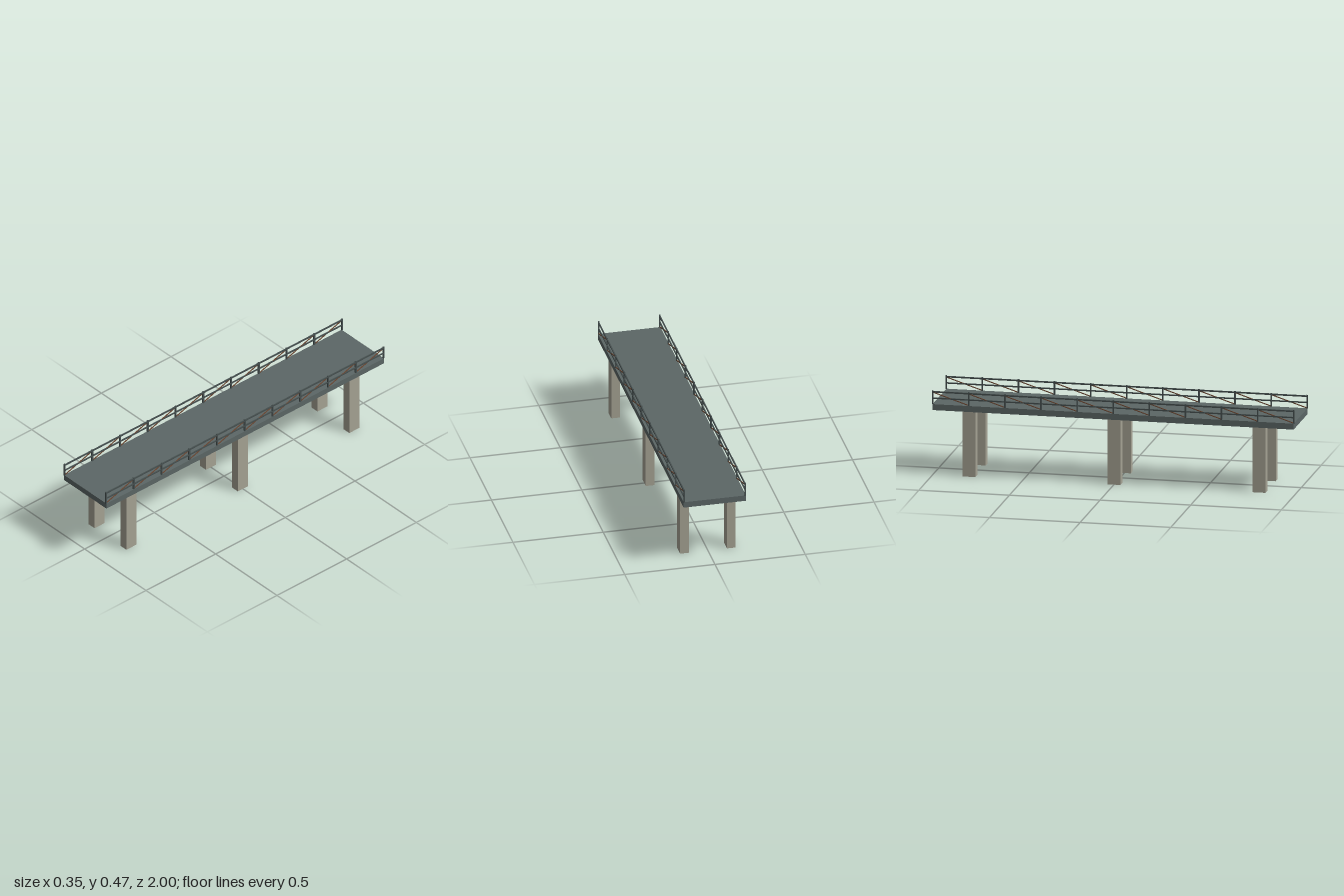
import * as THREE from 'three';

const deckPaint = new THREE.MeshStandardMaterial({ name: 'slate deck', color: 0x5c6766 });
const concrete = new THREE.MeshStandardMaterial({ name: 'warm concrete', color: 0xa6a394 });
const railPaint = new THREE.MeshStandardMaterial({ name: 'dark rail steel', color: 0x465050 });
const rust = new THREE.MeshStandardMaterial({ name: 'rusty brace', color: 0x6e4a35 });

const BAYS = 10, END = 0.996, DECK_TOP = 0.398, RAIL_X = 0.169;

function box(parent, name, material, size, position) {
  const mesh = new THREE.Mesh(new THREE.BoxGeometry(...size), material);
  mesh.name = name;
  mesh.position.set(...position);
  parent.add(mesh);
  return mesh;
}

// One railing: posts, two rails and a diagonal brace in every bay
function createRailing(x, name) {
  const railing = new THREE.Group();
  railing.name = name;
  const step = (2 * END) / BAYS;
  for (let i = 0; i <= BAYS; i++) {
    box(railing, 'post', railPaint, [0.008, 0.075, 0.008], [x, DECK_TOP + 0.0375, END - i * step]);
  }
  box(railing, 'topRail', railPaint, [0.006, 0.008, 2 * END], [x, 0.466, 0]);
  box(railing, 'midRail', railPaint, [0.006, 0.007, 2 * END], [x, 0.431, 0]);

  // Braces rise towards the back
  const rise = 0.064;
  for (let i = 0; i < BAYS; i++) {
    const brace = box(railing, 'brace', rust, [0.004, 0.005, Math.hypot(step, rise)],
      [x, DECK_TOP + 0.002 + rise / 2, END - (i + 0.5) * step]);
    brace.rotation.x = Math.atan2(rise, step);
  }
  return railing;
}

export function createModel() {
  const bridge = new THREE.Group();
  bridge.name = 'bridge';

  box(bridge, 'deck', deckPaint, [0.346, 0.033, 2 * END], [0, 0.3815, 0]);

  // Three pairs of square piers
  for (const z of [0.8, 0, -0.8]) {
    for (const side of [-1, 1]) {
      box(bridge, 'pier', concrete, [0.048, 0.365, 0.072], [side * 0.13, 0.1825, z]);
    }
  }

  bridge.add(createRailing(RAIL_X, 'leftRailing'), createRailing(-RAIL_X, 'rightRailing'));
  return bridge;
}
